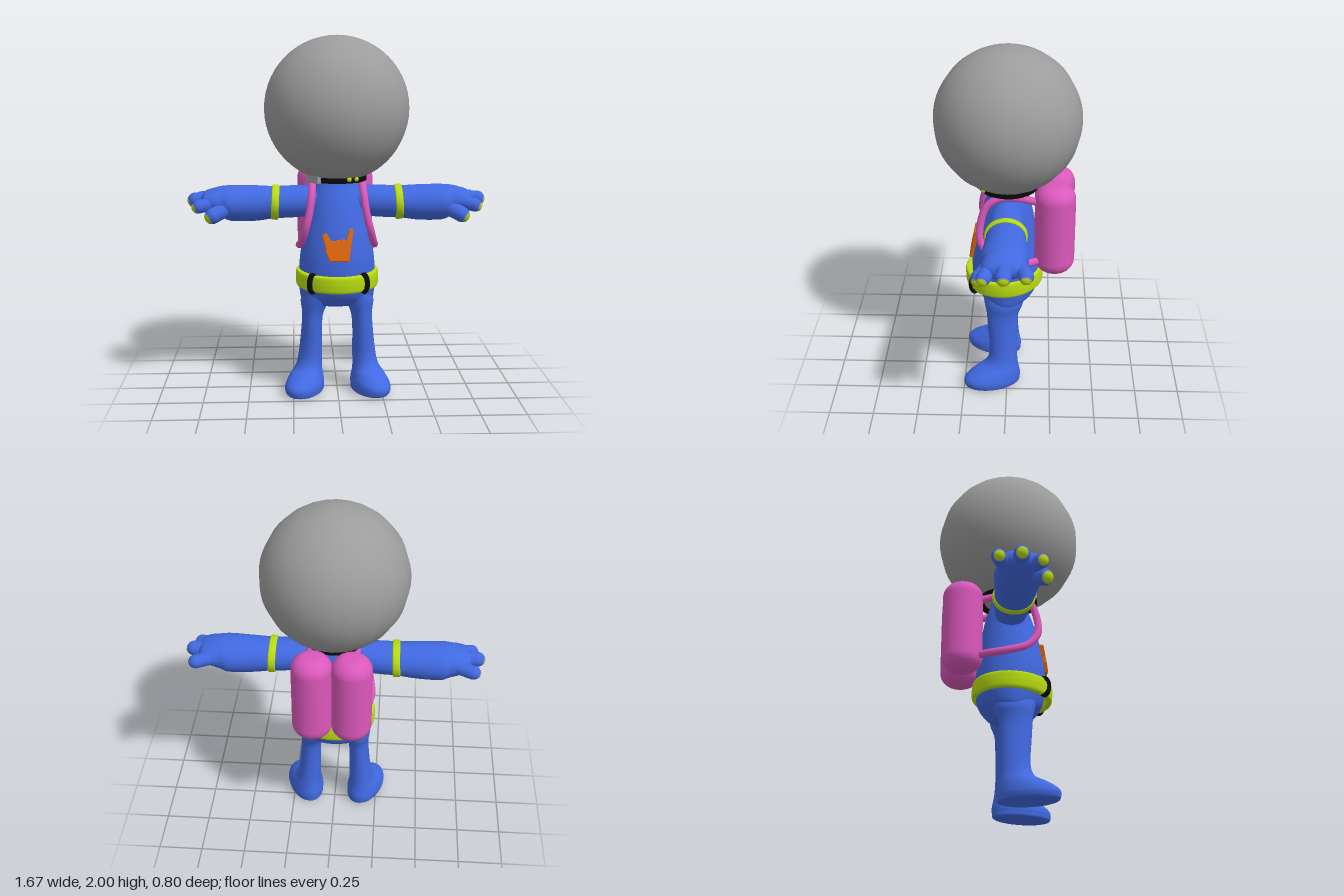
import * as THREE from 'three';

const material = (name, color) => Object.assign(new THREE.MeshStandardMaterial({ color }), { name });

// Smooth skin over elliptical rings stacked along y: [y, cx, cz, rx, rz, shear]
function loft(rings, steps = 40, sides = 28) {
  const centres = new THREE.CatmullRomCurve3(rings.map(r => new THREE.Vector3(r[1], r[0], r[2])), false, 'catmullrom', 0.5);
  const sizes = new THREE.CatmullRomCurve3(rings.map(r => new THREE.Vector3(r[3], r[4], r[5] || 0)), false, 'catmullrom', 0.5);
  const pos = [], index = [];
  for (let i = 0; i <= steps; i++) {
    const c = centres.getPoint(i / steps), s = sizes.getPoint(i / steps);
    for (let j = 0; j < sides; j++) {
      const a = j / sides * Math.PI * 2, dz = Math.max(s.y, 0.001) * Math.sin(a);
      pos.push(c.x + Math.max(s.x, 0.001) * Math.cos(a) + s.z * dz, c.y, c.z + dz);
      if (i === steps) continue;
      const p = i * sides + j, q = i * sides + (j + 1) % sides;
      index.push(p, p + sides, q, q, p + sides, q + sides);
    }
  }
  const g = new THREE.BufferGeometry();
  g.setAttribute('position', new THREE.Float32BufferAttribute(pos, 3));
  g.setIndex(index);
  g.computeVertexNormals();
  return g;
}

// Closed ring with a soft rectangular section
function band(radius, height, thick) {
  const pts = [];
  for (let i = 0; i <= 16; i++) {
    const a = i / 16 * Math.PI * 2, c = Math.cos(a), s = Math.sin(a);
    pts.push(new THREE.Vector2(
      radius + thick / 2 * Math.sign(c) * Math.sqrt(Math.abs(c)),
      height / 2 * Math.sign(s) * Math.sqrt(Math.abs(s))));
  }
  return new THREE.LatheGeometry(pts, 40);
}

function mirrored(geo) {
  const g = geo.clone().scale(-1, 1, 1), ix = g.index.array;
  for (let i = 0; i < ix.length; i += 3) [ix[i], ix[i + 1]] = [ix[i + 1], ix[i]];
  return g;
}

const UP = new THREE.Vector3(0, 1, 0);
const turnTo = (geo, dir) => geo.applyQuaternion(new THREE.Quaternion().setFromUnitVectors(UP, dir.clone().normalize()));

export function createModel() {
  const model = new THREE.Group();
  model.name = 'astronaut';
  const blue = material('suitBlue', 0x4169e1);
  const grey = material('helmetGrey', 0x9c9c9c);
  const pink = material('packPink', 0xdb58bb);
  const lime = material('trimLime', 0xb8dc10);
  const black = material('black', 0x0b0b0b);
  const orange = material('emblemOrange', 0xe2690e);

  const add = (name, geo, mat) => {
    const m = new THREE.Mesh(geo, mat);
    m.name = name;
    model.add(m);
    return m;
  };
  const addPair = (name, geo, mat) => {
    add(name + 'Left', geo, mat);
    add(name + 'Right', mirrored(geo), mat);
  };

  // Helmet
  add('helmet', new THREE.SphereGeometry(0.402, 20, 28).translate(0, 1.6, 0), grey);

  // Torso and hips: [y, half width, front z, back z]
  const torso = [
    [0.495, 0.001, 0.02, 0.02], [0.5, 0.15, 0.1, -0.07], [0.53, 0.2, 0.14, -0.12], [0.58, 0.212, 0.18, -0.165],
    [0.66, 0.216, 0.2, -0.182], [0.78, 0.208, 0.202, -0.178], [0.9, 0.188, 0.185, -0.162], [1.0, 0.168, 0.162, -0.15],
    [1.1, 0.15, 0.132, -0.13], [1.18, 0.12, 0.1, -0.105], [1.23, 0.1, 0.09, -0.09]];
  add('torso', loft(torso.map(([y, rx, f, b]) => [y, 0, (f + b) / 2, rx, (f - b) / 2]), 50, 36), blue);

  // Leg with a foot that turns outward
  addPair('leg', loft([
    [0, 0.18, 0.08, 0.001, 0.001, 0.2], [0.003, 0.182, 0.083, 0.09, 0.14, 0.2], [0.03, 0.187, 0.087, 0.106, 0.162, 0.2],
    [0.065, 0.185, 0.082, 0.104, 0.158, 0.2], [0.105, 0.176, 0.058, 0.09, 0.126, 0.15], [0.145, 0.162, 0.03, 0.074, 0.092, 0.05],
    [0.22, 0.153, 0.022, 0.066, 0.08], [0.38, 0.144, 0.026, 0.058, 0.086], [0.46, 0.137, 0.026, 0.063, 0.092],
    [0.52, 0.125, 0.02, 0.082, 0.11], [0.57, 0.11, 0.02, 0.085, 0.12]], 60), blue);

  // Arm and palm: [x, y, half height, half depth]
  const arm = [
    [0.06, 1.09, 0.06, 0.07], [0.15, 1.088, 0.084, 0.09], [0.25, 1.084, 0.09, 0.099], [0.35, 1.08, 0.09, 0.105],
    [0.45, 1.076, 0.099, 0.112], [0.55, 1.076, 0.101, 0.122], [0.6, 1.078, 0.098, 0.125], [0.64, 1.085, 0.088, 0.115],
    [0.69, 1.092, 0.069, 0.115], [0.74, 1.097, 0.045, 0.09], [0.765, 1.098, 0.001, 0.001]];
  addPair('arm', loft(arm.map(([x, y, ry, rz]) => [x, -y, 0, ry, rz]), 50).rotateZ(-Math.PI / 2), blue);

  // Fingers with lime tips on pale rims: [base, tip, radius, tip direction]
  const fingers = [
    ['thumb', [0.61, 1.06, 0.07], [0.685, 1.025, 0.125], 0.044, [0.8, -0.45, 0.4]],
    ['frontFinger', [0.66, 1.09, 0.06], [0.762, 1.073, 0.1], 0.038, [1, -0.35, 0.3]],
    ['middleFinger', [0.67, 1.1, 0], [0.789, 1.096, 0], 0.042, [1, -0.4, 0]],
    ['backFinger', [0.66, 1.095, -0.07], [0.764, 1.088, -0.113], 0.039, [1, -0.4, 0.05]]];
  for (const [name, a, b, r, d] of fingers) {
    const p = new THREE.Vector3(...a), q = new THREE.Vector3(...b), dir = new THREE.Vector3(...d);
    const axis = q.clone().sub(p), mid = p.clone().add(q).multiplyScalar(0.5);
    addPair(name, turnTo(new THREE.CapsuleGeometry(r, axis.length(), 8, 16), axis).translate(mid.x, mid.y, mid.z), blue);
    for (const [part, lift, angle, mat] of [['TipRim', 0.0015, 0.85, grey], ['Tip', 0.003, 0.68, lime]]) {
      const cap = new THREE.SphereGeometry(r + lift, 16, 6, 0, Math.PI * 2, 0, angle);
      addPair(name + part, turnTo(cap, dir).translate(q.x, q.y, q.z), mat);
    }
  }

  // Sleeve bands
  addPair('sleeveBand', band(0.104, 0.042, 0.024).rotateZ(Math.PI / 2).scale(1, 0.85, 1).rotateZ(0.05).translate(0.345, 1.08, 0), lime);

  // Belt, dipping at the front, with two dark loops
  add('belt', band(0.213, 0.096, 0.04).scale(1, 1, 0.95).rotateX(0.05).translate(0, 0.66, 0.02), lime);
  addPair('beltLoop', new THREE.TorusGeometry(0.047, 0.014, 10, 20).rotateY(Math.PI / 2).scale(1.2, 1, 0.6)
    .rotateY(0.6).translate(0.143, 0.653, 0.183), black);

  // Collar with clasp and beads
  add('collar', band(0.15, 0.046, 0.034).translate(0, 1.225, -0.003), black);
  add('collarClasp', new THREE.BoxGeometry(0.09, 0.044, 0.04).rotateY(-0.8).translate(-0.128, 1.225, 0.105), grey);
  for (const a of [0.38, 0.66]) {
    add('collarBead', new THREE.SphereGeometry(0.014, 12, 8).translate(0.164 * Math.sin(a), 1.225, 0.164 * Math.cos(a)), lime);
  }

  // Twin air tanks with rounded ends
  const profile = [new THREE.Vector2(0, -0.263)];
  for (const side of [-1, 1]) {
    for (let i = 0; i <= 8; i++) {
      const a = (side < 0 ? i - 8 : i) / 8 * Math.PI / 2;
      profile.push(new THREE.Vector2(0.032 + 0.08 * Math.cos(a), side * 0.183 + 0.08 * Math.sin(a)));
    }
  }
  profile.push(new THREE.Vector2(0, 0.263));
  addPair('airTank', new THREE.LatheGeometry(profile, 32).translate(0.108, 1.002, -0.263), pink);

  // Shoulder straps
  const strap = new THREE.CatmullRomCurve3([
    [0.12, 1.165, -0.18], [0.13, 1.195, -0.06], [0.137, 1.195, 0.04], [0.142, 1.15, 0.11], [0.155, 1.05, 0.145],
    [0.178, 0.95, 0.145], [0.2, 0.87, 0.085], [0.212, 0.832, -0.02], [0.185, 0.822, -0.12], [0.14, 0.82, -0.2],
  ].map(p => new THREE.Vector3(...p)));
  addPair('strap', new THREE.TubeGeometry(strap, 60, 0.021, 10), pink);

  // Hand-sign chest emblem
  const outline = [
    [-0.045, -0.085], [0.055, -0.085], [0.064, -0.02], [0.08, 0.085], [0.064, 0.083], [0.046, 0.02], [0.036, 0.028],
    [0.02, 0.026], [0.014, 0.016], [0.005, 0.024], [-0.01, 0.022], [-0.016, 0.012], [-0.026, 0.02], [-0.04, 0.016],
    [-0.068, 0.062], [-0.084, 0.052], [-0.066, -0.01], [-0.064, -0.04]];
  const emblem = add('chestEmblem', new THREE.ExtrudeGeometry(
    new THREE.Shape(outline.map(p => new THREE.Vector2(...p))),
    { depth: 0.022, bevelThickness: 0.006, bevelSize: 0.005, bevelSegments: 2 }), orange);
  emblem.position.set(0, 0.865, 0.172);
  emblem.rotation.x = -0.2;

  return model;
}
